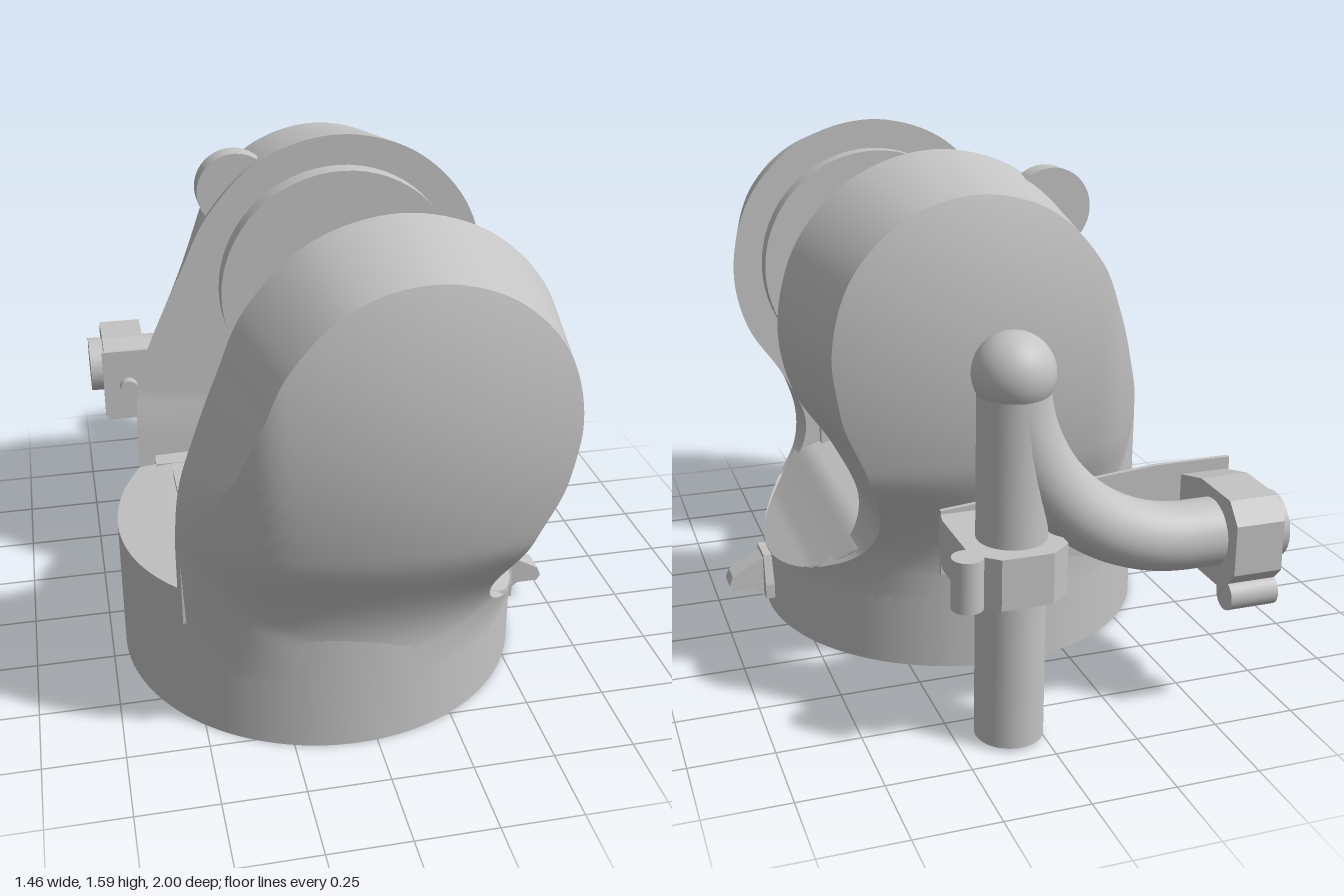
import * as THREE from 'three';
import { toCreasedNormals } from 'three/addons/utils/BufferGeometryUtils.js';

const grey = new THREE.MeshStandardMaterial({ color: 0xc4c4c4, side: THREE.DoubleSide });
grey.name = 'plain grey';

const CX = -0.06, CZ = 0.18, R = 0.645;   // base circle
const HX = 0.09, HY = 1.09;               // centre of the round arm heads
const smooth = THREE.MathUtils.smoothstep;
const lerp = THREE.MathUtils.lerp;
const chord = x => Math.sqrt(Math.max(0, R * R - (x - CX) ** 2));

function part(name, geometry, x = 0, y = 0, z = 0) {
  const mesh = new THREE.Mesh(geometry, grey);
  mesh.name = name;
  mesh.position.set(x, y, z);
  return mesh;
}

function extrude(pts, depth) {
  const shape = new THREE.Shape(pts.map(([x, y]) => new THREE.Vector2(x, y)));
  return new THREE.ExtrudeGeometry(shape, { depth, bevelEnabled: false });
}

function fromQuads(quads, crease) {
  const pos = [];
  for (const [a, b, c, d] of quads) pos.push(...a, ...b, ...c, ...a, ...c, ...d);
  const g = new THREE.BufferGeometry();
  g.setAttribute('position', new THREE.Float32BufferAttribute(pos, 3));
  return toCreasedNormals(g, crease);
}

// Arm outline: up the left side, over the head, down the right side into the floor
const outline = new THREE.CatmullRomCurve3([
  [-0.56, 0.1], [-0.56, 0.33], [-0.56, 0.5], [-0.558, 0.66], [-0.54, 0.82], [-0.49, 0.98],
  [-0.42, 1.165], [-0.343, 1.34], [-0.16, 1.523], [HX, 1.59], [0.34, 1.523], [0.523, 1.34],
  [0.59, 1.09], [0.55, 0.88], [0.43, 0.69], [0.352, 0.51], [0.375, 0.39], [0.47, 0.295], [0.56, 0.225],
].map(([x, y]) => new THREE.Vector3(x, y, 0)));

// Distance of the outer skin from the middle: round base blending into a domed head
function skin(x, y) {
  const r2 = (x - HX) ** 2 + (y - HY) ** 2;
  const dome = 0.82 - 0.325 * Math.min(r2, 0.6) - 3 * Math.min(0, x + 0.3) ** 2;
  return lerp(chord(x), dome, smooth(y, 0.2, 0.72));
}

function armGeometry(side, inner, widen) {
  const rows = 72, cols = 28, grid = [];
  const inset = p => {
    const k = 1 - 0.14 * smooth(p.y, 0.5, 1);
    return [HX + (p.x - HX) * k, HY + (p.y - HY) * k];
  };
  const innerPoint = p => [p.x, p.y, CZ + side * Math.min(inner, skin(p.x, p.y))];
  for (let j = 0; j <= rows; j++) {
    const l = outline.getPoint(j / rows / 2), r = outline.getPoint(1 - j / rows / 2);
    const lo = inset(l), ro = inset(r);
    l.x -= widen * (1 - smooth(l.y, 0.7, 1.4));
    const row = [innerPoint(l)];
    for (let i = 0; i <= cols; i++) {
      const u = (1 - Math.cos(Math.PI * i / cols)) / 2;
      const x = lerp(lo[0], ro[0], u), y = lerp(lo[1], ro[1], u);
      row.push([x, y, CZ + side * skin(x, y)]);
    }
    row.push(innerPoint(r));
    grid.push(row);
  }
  const quads = [];
  for (let j = 0; j < rows; j++) {
    const n = grid[j].length;
    for (let i = 0; i < n; i++) {
      const k = (i + 1) % n;
      const q = [grid[j][i], grid[j][k], grid[j + 1][k], grid[j + 1][i]];
      quads.push(side > 0 ? q : q.reverse());
    }
  }
  return fromQuads(quads, 0.55);
}

// Round base whose top follows the floor profile and drops at the right
function baseGeometry() {
  const profile = [[-0.71, 0.455], [-0.5, 0.478], [0.1, 0.478], [0.23, 0.44], [0.36, 0.4],
    [0.43, 0.33], [0.5, 0.265], [0.59, 0.205]];
  const floor = x => {
    let i = 1;
    while (i < profile.length - 1 && profile[i][0] < x) i++;
    const [a, b] = [profile[i - 1], profile[i]];
    return lerp(a[1], b[1], (x - a[0]) / (b[0] - a[0]));
  };
  const n = 64, quads = [];
  const at = i => {
    const x = CX - R * Math.cos(Math.PI * i / n), h = R * Math.sin(Math.PI * i / n), y = floor(x);
    return { f: [x, y, CZ + h], b: [x, y, CZ - h], f0: [x, 0, CZ + h], b0: [x, 0, CZ - h] };
  };
  for (let i = 0; i < n; i++) {
    const p = at(i), q = at(i + 1);
    quads.push([p.f, q.f, q.b, p.b], [p.f0, q.f0, q.f, p.f], [q.b0, p.b0, p.b, q.b]);
  }
  return fromQuads(quads, 0.5);
}

// Clamp block with a small rounded ear; the rod passes 0.21 from its foot
function clampGeometry() {
  const g = extrude([[-0.1, 0], [0.14, 0], [0.15, 0.05], [0.15, 0.29], [0.08, 0.35], [-0.07, 0.35],
    [-0.13, 0.3], [-0.135, 0.13]], 0.15);
  return g.rotateX(-Math.PI / 2);
}
const earGeometry = () => new THREE.CylinderGeometry(0.045, 0.045, 0.15, 24).translate(0.16, 0.075, -0.3);

export function createModel() {
  const model = new THREE.Group();
  model.name = 'forkMount';

  // Base with a recessed underside
  model.add(part('base', baseGeometry()));
  const under = [[0, 0.04], [0.54, 0.04], [0.54, 0], [R, 0]].map(([x, y]) => new THREE.Vector2(x, y));
  model.add(part('underside', toCreasedNormals(new THREE.LatheGeometry(under, 64).toNonIndexed(), 0.5), CX, 0, CZ));

  // Floor panel
  const s = 0.295, c = 0.06, panel = new THREE.Shape();
  panel.moveTo(-s + c, -s).lineTo(s - c, -s).quadraticCurveTo(s, -s, s, -s + c);
  panel.lineTo(s, s - c).quadraticCurveTo(s, s, s - c, s).lineTo(-s + c, s);
  panel.quadraticCurveTo(-s, s, -s, s - c).lineTo(-s, -s + c).quadraticCurveTo(-s, -s, -s + c, -s);
  const panelGeo = new THREE.ExtrudeGeometry(panel, { depth: 0.025, bevelEnabled: false });
  model.add(part('floorPanel', panelGeo.rotateX(-Math.PI / 2), -0.205, 0.472, 0.175));

  // Two arms, each with a bearing disc and a sill along its foot
  for (const [name, side, inner, widen] of [['front', 1, 0.415, 0], ['back', -1, 0.36, 0.045]]) {
    model.add(part(name + 'Arm', armGeometry(side, inner, widen)));
    const disc = new THREE.CylinderGeometry(0.4, 0.4, 0.08, 64).rotateX(Math.PI / 2);
    model.add(part(name + 'BearingDisc', disc, HX, HY, CZ + side * (inner - 0.025)));
    const sill = extrude([[0, 0.36], [0.05, 0.36], [0.05, 0.56], [0, 0.48]], 0.85).rotateY(Math.PI / 2);
    if (side > 0) sill.rotateY(Math.PI).translate(0.85, 0, 0);
    model.add(part(name + 'Sill', sill, -0.55, 0, CZ + side * (inner - 0.03)));
  }

  // Small dial on the back arm
  model.add(part('dial', new THREE.CylinderGeometry(0.125, 0.125, 0.07, 40).rotateX(Math.PI / 2), -0.24, 1.41, -0.255));

  // Pointer at the right of the base
  const pointer = extrude([[0.55, 0.06], [0.61, 0.05], [0.645, 0.08], [0.715, 0.08], [0.727, 0.1],
    [0.715, 0.13], [0.6, 0.195], [0.55, 0.21]], 0.08);
  model.add(part('pointer', pointer, 0, 0, 0.14));
  const flare = extrude([[-0.08, 0], [0.08, 0], [0.08, 0.05], [0.055, 0.15], [-0.055, 0.15], [-0.08, 0.05]], 0.05);
  model.add(part('pointerFoot', flare.rotateY(Math.PI / 2), 0.56, 0.055, 0.18));

  // Rods behind the back arm: an upright, a ball and a bent tube
  const RZ = -0.855;
  model.add(part('uprightRod', new THREE.CylinderGeometry(0.1, 0.1, 1.08, 40), HX, 0.55, RZ));
  model.add(part('ball', new THREE.SphereGeometry(0.115, 40, 28), HX, HY, RZ));
  const path = new THREE.CurvePath();
  const bend = 0.54, k = bend * 0.5523;
  const v = (x, y) => new THREE.Vector3(x, y, RZ);
  path.add(new THREE.LineCurve3(v(-0.73, 0.55), v(HX - bend, 0.55)));
  path.add(new THREE.CubicBezierCurve3(v(HX - bend, 0.55), v(HX - bend + k, 0.55), v(HX, HY - k), v(HX, HY)));
  model.add(part('bentTube', new THREE.TubeGeometry(path, 60, 0.1, 32)));
  model.add(part('tubeEnd', new THREE.CircleGeometry(0.1, 32).rotateY(-Math.PI / 2), -0.73, 0.55, RZ));

  // Clamps around the upright and the tube
  for (const [name, make] of [['Clamp', clampGeometry], ['ClampEar', earGeometry]]) {
    model.add(part('upright' + name, make(), HX, 0.47, -0.65));
    model.add(part('tube' + name, make().rotateZ(-Math.PI / 2), -0.68, 0.55, -0.65));
  }

  // Bracket plate, its bolt and the hooked foot on the back arm
  const plate = extrude([[-0.69, 0.43], [0.23, 0.43], [0.23, 0.63], [-0.45, 0.69], [-0.69, 0.69]], 0.015);
  model.add(part('bracketPlate', plate, 0, 0, -0.655));
  model.add(part('bracketBolt', new THREE.CylinderGeometry(0.033, 0.033, 0.04, 20).rotateX(Math.PI / 2), -0.6, 0.55, -0.625));
  model.add(part('bracketShelf', new THREE.BoxGeometry(0.3, 0.015, 0.13), 0, 0.435, -0.585));
  model.add(part('bracketHook', new THREE.BoxGeometry(0.3, 0.06, 0.015), 0, 0.41, -0.525));
  model.add(part('bracketFoot', new THREE.BoxGeometry(0.22, 0.11, 0.09), 0, 0.345, -0.49));
  return model;
}
